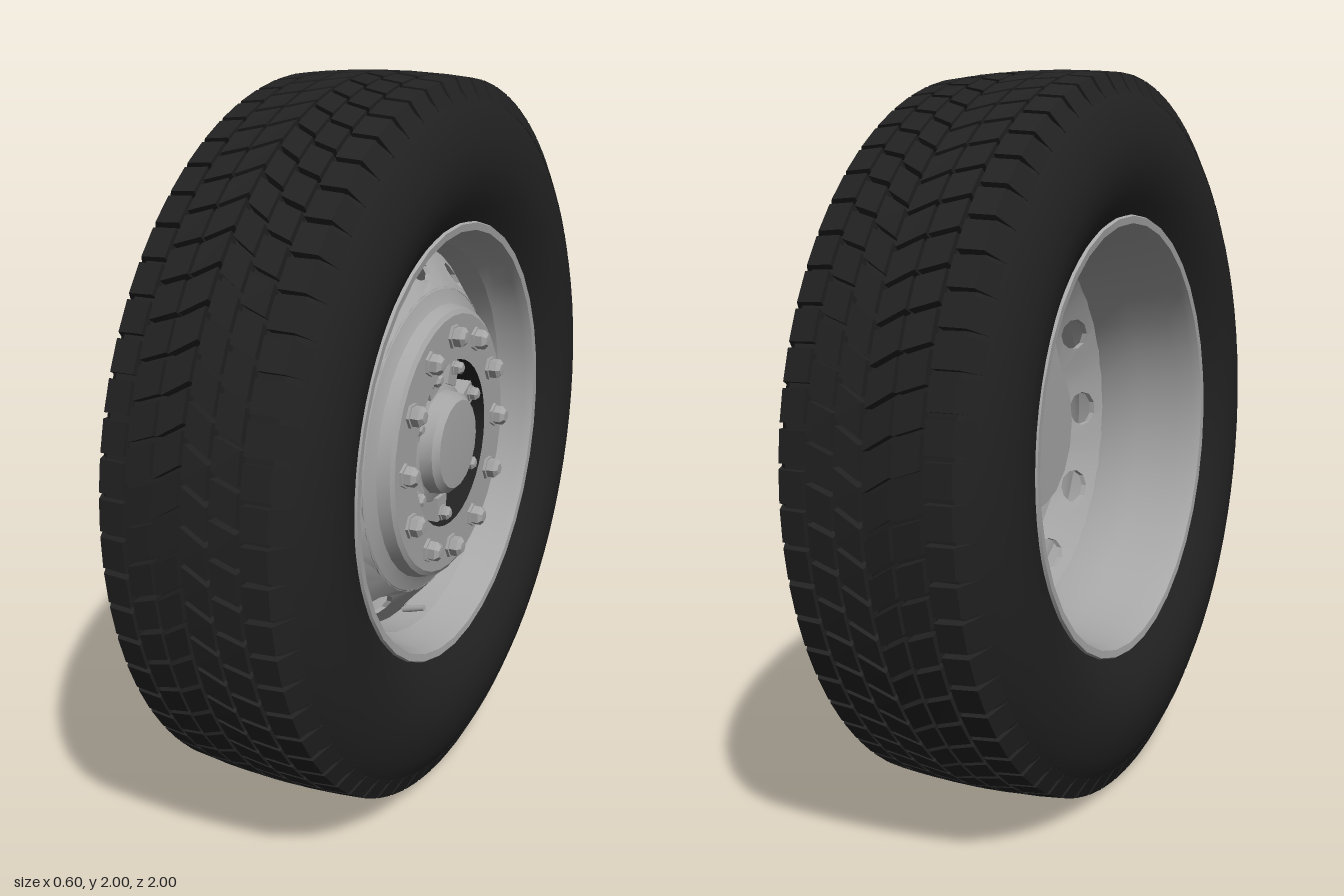
import * as THREE from 'three';
import { mergeGeometries, toCreasedNormals } from 'three/addons/utils/BufferGeometryUtils.js';

const rubber = new THREE.MeshStandardMaterial({ color: 0x222222 });
rubber.name = 'black rubber';
const metal = new THREE.MeshStandardMaterial({ color: 0xa6a6a6 });
metal.name = 'grey metal';

// Profile of [radius, x] points turned around the x axis
function turned(name, points, material, segments = 36, crease = 0.45) {
  const lathe = new THREE.LatheGeometry(points.map(([r, x]) => new THREE.Vector2(r, x)), segments);
  lathe.rotateZ(-Math.PI / 2);
  const mesh = new THREE.Mesh(toCreasedNormals(lathe, crease), material);
  mesh.name = name;
  return mesh;
}

// Moves every vertex by a rule
function warp(geometry, rule) {
  const p = geometry.attributes.position;
  for (let i = 0; i < p.count; i++) p.setXYZ(i, ...rule(p.getX(i), p.getY(i), p.getZ(i)));
  const flat = geometry.index ? geometry.toNonIndexed() : geometry;
  flat.computeVertexNormals();
  return flat;
}

// One column of tread blocks; slants are angle offsets at both edges
function treadColumn(x0, x1, slant0, slant1, phase, count = 66) {
  const step = (Math.PI * 2) / count;
  const blocks = [];
  for (let n = 0; n < count; n++) {
    blocks.push(warp(new THREE.BoxGeometry(1, 1, 1), (u, v, w) => {
      let x = u < 0 ? x0 : x1;
      let r = v > 0 ? 1 - 0.25 * x * x : 0.966;
      if (v < 0 && Math.abs(x) > 0.2) { // shoulder blocks run down the side
        x = Math.sign(x) * 0.257;
        r = 0.93;
      }
      const a = (n + phase) * step + (u < 0 ? slant0 : slant1) + w * step * 0.84;
      return [x, r * Math.cos(a), r * Math.sin(a)];
    }));
  }
  return mergeGeometries(blocks);
}

function buildTyre() {
  const tyre = new THREE.Group();
  tyre.name = 'tyre';
  const half = [[0.585, 0.2], [0.605, 0.24], [0.65, 0.265], [0.7, 0.287], [0.76, 0.298], [0.82, 0.294],
    [0.88, 0.278], [0.94, 0.25], [0.968, 0.222]];
  const profile = [...half.map(([r, x]) => [r, -x]), ...half.slice().reverse()];
  tyre.add(turned('tyreCarcass', profile, rubber, 72, 0.6));

  const columns = [
    [-0.226, -0.158, 0, 0, 0], [-0.148, -0.08, -0.012, 0.012, 0.5], [-0.071, -0.005, -0.018, 0.022, 0.2],
    [0.005, 0.071, 0.022, -0.018, 0.5], [0.08, 0.148, 0.012, -0.012, 0.1], [0.158, 0.226, 0, 0, 0.5],
  ];
  // Slants are turned so that the chevrons point up at the front
  const blocks = columns.map(([x0, x1, s0, s1, phase]) => treadColumn(x0, x1, -s0, -s1, phase));
  const tread = new THREE.Mesh(mergeGeometries(blocks), rubber);
  tread.name = 'treadBlocks';
  tyre.add(tread);
  return tyre;
}

// Cone-shaped band of the wheel disc, with twelve hand holes
function buildHoleBand() {
  const inner = 0.425, outer = 0.54, middle = 0.482, sector = Math.PI / 6;
  const halfWidth = (sector / 2) * middle;
  const outline = [];
  for (let i = 0; i <= 4; i++) outline.push(new THREE.Vector2(-halfWidth + (i * halfWidth) / 2, inner));
  for (let i = 4; i >= 0; i--) outline.push(new THREE.Vector2(-halfWidth + (i * halfWidth) / 2, outer));
  const shape = new THREE.Shape(outline);
  const hole = new THREE.Path();
  hole.absellipse(0, middle, 0.053, 0.033, 0, Math.PI * 2, true);
  shape.holes.push(hole);
  const parts = [];
  for (let n = 0; n < 12; n++) {
    const panel = new THREE.ExtrudeGeometry(shape, { depth: 0.015, bevelEnabled: false, curveSegments: 5 });
    parts.push(warp(panel, (u, r, w) => {
      const a = n * sector + u / middle;
      const x = 0.06 + ((outer - r) / (outer - inner)) * 0.1 + w;
      return [x, r * Math.cos(a), -r * Math.sin(a)];
    }));
  }
  const band = new THREE.Mesh(toCreasedNormals(mergeGeometries(parts), 0.4), metal);
  band.name = 'discHoleBand';
  return band;
}

// Places a copy of a part at an angle (clockwise from the top) and radius
function placeAround(parent, make, angles, radius, x) {
  for (const degrees of angles) {
    const part = make();
    const a = THREE.MathUtils.degToRad(degrees);
    part.position.set(x, radius * Math.cos(a), -radius * Math.sin(a));
    part.rotation.x = -a;
    parent.add(part);
  }
}

// Six-sided nut with a washer and a tapered end, pointing to +x
function makeNut(name, size) {
  return () => turned(name, [[size * 1.12, -0.004], [size * 1.12, size * 0.25], [size * 0.92, size * 0.27],
    [size * 0.92, size * 0.95], [size * 0.55, size * 1.3], [0, size * 1.35]], metal, 6, 0.2);
}

function buildWheel() {
  const wheel = new THREE.Group();
  wheel.name = 'wheel';

  // Rim barrel with a rolled flange at either end
  wheel.add(turned('rimBarrel', [[0.608, 0.225], [0.616, 0.24], [0.61, 0.252], [0.59, 0.25], [0.578, 0.225],
    [0.568, 0.18], [0.548, 0.15], [0.54, 0.09], [0.534, 0.05], [0.548, -0.06], [0.572, -0.17],
    [0.58, -0.225], [0.59, -0.25], [0.61, -0.252], [0.616, -0.24], [0.608, -0.225]], metal));

  // Wheel disc: hole band, raised bolt face, black centre bore
  wheel.add(buildHoleBand());
  wheel.add(turned('boltFace', [[0.235, 0.2], [0.355, 0.2], [0.37, 0.185], [0.395, 0.16], [0.43, 0.152],
    [0.43, 0.172], [0.405, 0.18], [0.385, 0.19], [0.375, 0.224], [0.362, 0.232], [0.235, 0.232]], metal));
  wheel.add(turned('centreBore', [[0.235, 0.232], [0.233, 0.1]], rubber));
  wheel.add(turned('boreBack', [[0.236, 0.1], [0.238, 0.2]], metal));

  // Hub with its rounded cap and flat back
  wheel.add(turned('hub', [[0, 0.03], [0.222, 0.03], [0.233, 0.05], [0.233, 0.125], [0.185, 0.135],
    [0.172, 0.19], [0.148, 0.2], [0.142, 0.235], [0.125, 0.252], [0, 0.258]], metal, 18, 0.35));

  // Bolts on the disc, and smaller bolts on ribs around the hub
  const twelve = Array.from({ length: 12 }, (_, i) => i * 30);
  placeAround(wheel, makeNut('wheelNut', 0.031), twelve, 0.305, 0.232);
  const hubAngles = [-20, 20, 64, 123, 180, 237, 296];
  placeAround(wheel, () => {
    const rib = new THREE.Mesh(new THREE.BoxGeometry(0.08, 0.07, 0.06), metal);
    rib.name = 'hubRib';
    return rib;
  }, hubAngles, 0.195, 0.165);
  placeAround(wheel, makeNut('hubBolt', 0.021), hubAngles, 0.21, 0.205);

  // Valve stem at the bottom of the rim
  const valve = new THREE.Mesh(new THREE.CylinderGeometry(0.009, 0.012, 0.07, 8), metal);
  valve.name = 'valveStem';
  valve.rotation.z = -Math.PI / 2 + 0.25;
  valve.position.set(0.12, -0.525, 0);
  wheel.add(valve);
  return wheel;
}

export function createModel() {
  const model = new THREE.Group();
  model.name = 'truckWheel';
  model.add(buildTyre(), buildWheel());
  model.position.y = 1;
  const root = new THREE.Group();
  root.name = 'model';
  root.add(model);
  return root;
}
